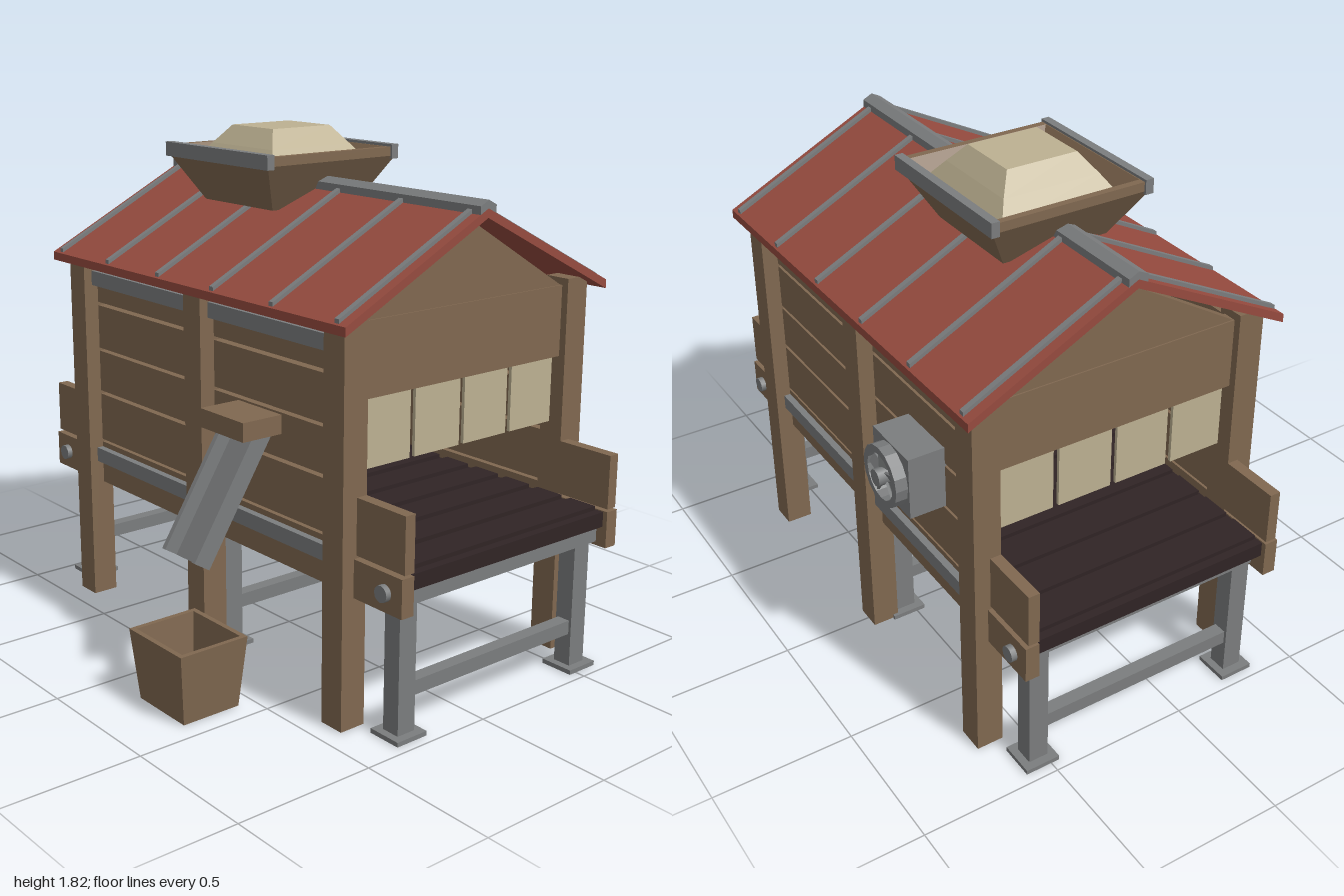
import * as THREE from 'three';

const mat = (name, color) => Object.assign(new THREE.MeshStandardMaterial({ color }), { name });

export function createModel() {
  const wood = mat('weathered wood', 0x806850);
  const steel = mat('galvanised steel', 0x7b7d7e);
  const red = mat('red roofing', 0x964b3f);
  const tan = mat('pale straw', 0xbdb192);
  const dark = mat('dark slats', 0x302425);
  const model = new THREE.Group();
  model.name = 'feedingShed';
  const ZC = -0.125; // centre line of the shed

  const add = (name, geometry, material, parent = model) => {
    const mesh = new THREE.Mesh(geometry, material);
    mesh.name = name;
    parent.add(mesh);
    return mesh;
  };
  // box given by its limits on each axis
  const box = (name, m, x0, x1, y0, y1, z0, z1, parent) => {
    const mesh = add(name, new THREE.BoxGeometry(x1 - x0, y1 - y0, z1 - z0), m, parent);
    mesh.position.set((x0 + x1) / 2, (y0 + y1) / 2, (z0 + z1) / 2);
    return mesh;
  };
  // cross-section across the shed, extruded along x
  const section = (name, m, pts, x0, x1) => {
    const shape = new THREE.Shape(pts.map(p => new THREE.Vector2(...p)));
    const geo = new THREE.ExtrudeGeometry(shape, { depth: x1 - x0, bevelEnabled: false });
    geo.rotateY(Math.PI / 2).translate(x0, 0, ZC);
    return add(name, geo, m);
  };
  const chevron = (name, m, half, top, thick, x0, x1) => {
    const eave = top - half * 0.504;
    return section(name, m, [[-half, eave - thick], [0, top - thick], [half, eave - thick],
      [half, eave], [0, top], [-half, eave]], x0, x1);
  };
  // square tapered block, or an open tub when it has an inner wall
  const taper = (name, m, rings, x, z) => {
    const pos = [], idx = [];
    for (const [hx, hz, y] of rings) pos.push(hx, y, hz, hx, y, -hz, -hx, y, -hz, -hx, y, hz);
    for (let r = 0; r < rings.length - 1; r++) {
      for (let i = 0; i < 4; i++) {
        const a = r * 4 + i, b = r * 4 + (i + 1) % 4;
        idx.push(a, b, b + 4, a, b + 4, a + 4);
      }
    }
    const n = (rings.length - 1) * 4;
    idx.push(0, 2, 1, 0, 3, 2, n, n + 1, n + 2, n, n + 2, n + 3);
    let geo = new THREE.BufferGeometry();
    geo.setAttribute('position', new THREE.Float32BufferAttribute(pos, 3));
    geo.setIndex(idx);
    geo = geo.toNonIndexed();
    geo.computeVertexNormals();
    add(name, geo, m).position.set(x, 0, z);
  };

  // front and back walls: posts, planks and steel rails
  for (const s of [1, -1]) {
    const z = d => ZC + s * d;
    const wall = (name, m, x0, x1, y0, y1, d0, d1) =>
      box(name, m, x0, x1, y0, y1, Math.min(z(d0), z(d1)), Math.max(z(d0), z(d1)));
    for (const x of [-0.733, -0.003, 0.733]) wall('post', wood, x - 0.048, x + 0.048, 0.01, 1.36, 0.45, 0.547);
    for (const [y0, y1] of [[0.46, 0.622], [0.632, 0.812], [0.825, 0.98], [0.992, 1.155], [1.168, 1.33]])
      wall('wallPlank', wood, -0.72, 0.72, y0, y1, 0.45, 0.49);
    for (const y of [0.575, 1.262]) wall('wallRail', steel, -0.69, 0.69, y - 0.027, y + 0.027, 0.485, 0.515);
    for (const e of [1, -1]) {
      const xa = Math.min(e * 0.7, e), xb = Math.max(e * 0.7, e);
      wall('endBoard', wood, xa, xb, 0.6, 0.79, 0.45, 0.49);
      wall('lowerEndBoard', wood, xa, xb, 0.46, 0.59, 0.45, 0.5);
      const bolt = add('bolt', new THREE.CylinderGeometry(0.028, 0.028, 0.03, 12), steel);
      bolt.rotation.x = Math.PI / 2;
      bolt.position.set(e * 0.925, 0.525, z(0.505));
    }
  }

  // slatted floor
  box('floor', dark, -0.985, 0.985, 0.535, 0.588, ZC - 0.447, ZC + 0.447);
  for (let i = 0; i < 13; i++) {
    const x = -0.9 + i * 0.15;
    box('floorSlat', dark, x - 0.055, x + 0.055, 0.58, 0.603, ZC - 0.44, ZC + 0.44);
  }

  // steel leg frames
  for (const x of [-0.9, 0, 0.9]) {
    for (const s of [1, -1]) {
      const z = ZC + s * 0.407;
      box('leg', steel, x - 0.034, x + 0.034, 0.02, x ? 0.48 : 0.54, z - 0.036, z + 0.036);
      box('footPlate', steel, x - 0.063, x + 0.063, 0.008, 0.024, z - 0.063, z + 0.063);
    }
    box('legBrace', steel, x - 0.024, x + 0.024, 0.14, 0.19, ZC - 0.38, ZC + 0.38);
    if (x) box('floorBeam', steel, x - 0.04, x + 0.06, 0.475, 0.537, ZC - 0.447, ZC + 0.447);
  }

  // gable ends with hanging curtain strips
  for (const e of [1, -1]) {
    const x = e * 0.735;
    section('gable', wood, [[-0.445, 1.335], [0.445, 1.335], [0, 1.6]], x - 0.02, x + 0.02);
    box('gableBoard', wood, x - 0.025, x + 0.025, 1.09, 1.337, ZC - 0.445, ZC + 0.445);
    for (let i = 0; i < 4; i++) {
      const z = ZC + (i - 1.5) * 0.221;
      box('curtainStrip', tan, x - 0.006, x + 0.006, 0.857, 1.1, z - 0.1, z + 0.1);
    }
  }

  // roof
  chevron('roof', red, 0.587, 1.645, 0.03, -0.83, 0.83);
  for (let i = 0; i < 6; i++) {
    const x = -0.783 + i * 0.313;
    chevron('roofRib', steel, 0.58, 1.659, 0.02, x - 0.01, x + 0.01);
  }
  chevron('ridgeCap', steel, 0.035, 1.672, 0.03, -0.83, 0.83);

  // hopper filled with grain
  const HX = -0.2;
  taper('hopper', wood, [[0.195, 0.195, 1.56], [0.29, 0.29, 1.725], [0.29, 0.29, 1.757],
    [0.265, 0.265, 1.757], [0.2, 0.2, 1.66]], HX, ZC);
  for (const s of [1, -1]) {
    const z = ZC + s * 0.283;
    box('hopperRim', steel, HX - 0.297, HX + 0.297, 1.715, 1.766, z - 0.015, z + 0.015);
  }
  taper('grain', tan, [[0.2, 0.2, 1.65], [0.23, 0.22, 1.7], [0.173, 0.178, 1.765], [0.116, 0.13, 1.83]], HX, ZC);

  // delivery chute
  box('chuteHead', wood, 0.18, 0.41, 0.908, 0.973, 0.36, 0.522);
  const chute = new THREE.Group();
  chute.name = 'chute';
  chute.position.set(0.295, 0.71, 0.55);
  chute.rotation.x = -Math.atan2(0.24, 0.38);
  model.add(chute);
  box('chuteBed', steel, -0.09, 0.09, -0.23, 0.25, -0.034, -0.018, chute);
  for (const s of [1, -1]) box('chuteSide', steel, s * 0.082 - 0.009, s * 0.082 + 0.009, -0.23, 0.25, -0.034, 0.034, chute);

  // bucket
  taper('bucket', wood, [[0.125, 0.11, 0.01], [0.148, 0.133, 0.26], [0.13, 0.115, 0.26], [0.11, 0.095, 0.03]], 0.3, 0.672);

  // ventilation fan on the back wall
  const fan = new THREE.Group();
  fan.name = 'fan';
  fan.position.set(-0.4, 0.938, -0.74);
  model.add(fan);
  box('fanHousing', steel, -0.115, 0.115, -0.112, 0.112, -0.005, 0.13, fan);
  const ring = new THREE.Shape().absarc(0, 0, 0.108, 0, Math.PI * 2);
  ring.holes.push(new THREE.Path().absarc(0, 0, 0.083, 0, Math.PI * 2, true));
  add('fanRing', new THREE.ExtrudeGeometry(ring, { depth: 0.045, bevelEnabled: false, curveSegments: 8 }), steel, fan)
    .position.z = -0.047;
  const hub = add('fanHub', new THREE.CylinderGeometry(0.03, 0.03, 0.06, 10), steel, fan);
  hub.rotation.x = Math.PI / 2;
  hub.position.z = -0.034;
  for (let i = 0; i < 5; i++) {
    const arm = new THREE.Group();
    arm.name = 'fanBladeArm';
    arm.rotation.z = i * Math.PI * 0.4;
    fan.add(arm);
    const blade = box('fanBlade', steel, -0.018, 0.018, 0.02, 0.085, -0.034, -0.026, arm);
    blade.rotation.y = 0.45;
  }
  return model;
}
